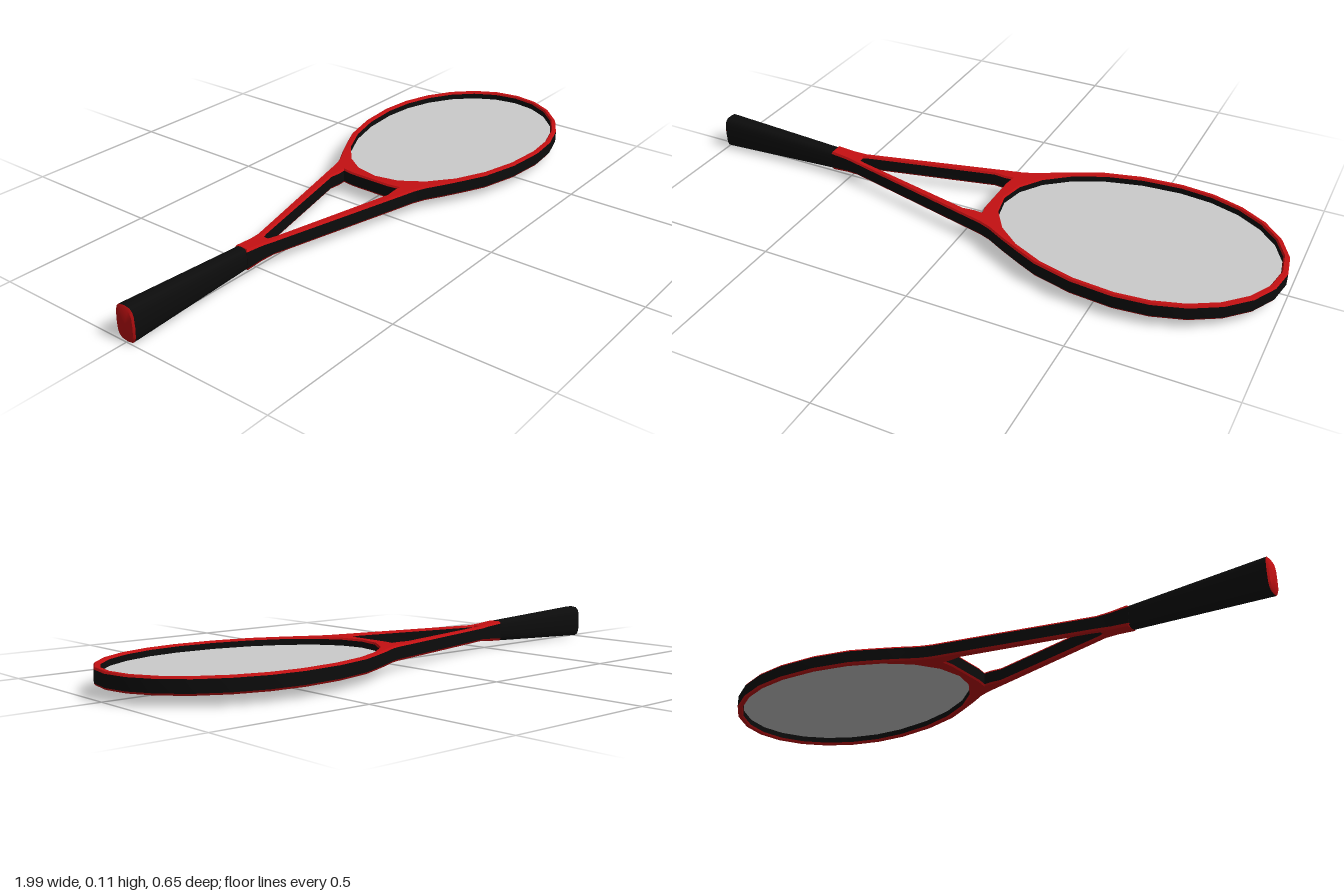
import * as THREE from 'three';
import { toCreasedNormals } from 'three/addons/utils/BufferGeometryUtils.js';

const MID_Y = 0.056;
const HEAD_X = 0.57;
const red = new THREE.MeshStandardMaterial({ color: 0xc41012 });
const black = new THREE.MeshStandardMaterial({ color: 0x0c0c0c });
const grey = new THREE.MeshStandardMaterial({ color: 0xcccccc, side: THREE.DoubleSide });

function addMesh(group, name, geometry, material) {
  const mesh = new THREE.Mesh(geometry, material);
  mesh.name = name;
  mesh.position.y = MID_Y;
  group.add(mesh);
  return mesh;
}

// Egg-shaped arc in plan: shorter towards the tip, longer towards the throat
function eggArc(front, back, half, fromDeg, toDeg, step = 15) {
  const points = [];
  for (let d = fromDeg; d <= toDeg; d += step) {
    const c = Math.cos(d * Math.PI / 180), s = Math.sin(d * Math.PI / 180);
    points.push(new THREE.Vector2(HEAD_X + c * (c > 0 ? front : back), half * s));
  }
  return points;
}

// Closes a half outline by mirroring it across the long axis
function mirrored(half) {
  const other = half.filter(p => Math.abs(p.y) > 1e-6).reverse();
  return [...half, ...other.map(p => new THREE.Vector2(p.x, -p.y))];
}

const vectors = pairs => pairs.map(([x, y]) => new THREE.Vector2(x, y));
const headOpening = () => mirrored(eggArc(0.4, 0.49, 0.307, 0, 180));

// Hoop, throat arms and collar in one extrusion, split into red faces and black walls
function addFrame(group) {
  const outline = mirrored([
    ...eggArc(0.42, 0.52, 0.325, 0, 120),
    ...vectors([[0.24, 0.248], [0.17, 0.212], [0.11, 0.178], [0.07, 0.163],
      [0, 0.146], [-0.455, 0.033], [-0.5, 0.026], [-0.56, 0.024]]),
  ]);
  const shape = new THREE.Shape(outline);
  const throat = mirrored(vectors([[0.048, 0], [0.048, 0.075], [0.054, 0.112],
    [0.03, 0.11], [-0.01, 0.114], [-0.43, 0.018], [-0.455, 0.01]]));
  shape.holes.push(new THREE.Path(headOpening()), new THREE.Path(throat));

  const depth = 0.038, bevel = 0.006;
  const solid = new THREE.ExtrudeGeometry(shape, {
    depth, bevelThickness: bevel, bevelSize: 0.004, bevelOffset: -0.004, bevelSegments: 1,
  });
  solid.translate(0, 0, -depth / 2).rotateX(Math.PI / 2);

  const pos = solid.attributes.position;
  const faces = [], walls = [];
  for (let i = 0; i < pos.count; i += 3) {
    const centreY = (pos.getY(i) + pos.getY(i + 1) + pos.getY(i + 2)) / 3;
    const target = Math.abs(centreY) > depth / 2 ? faces : walls;
    for (let k = i; k < i + 3; k++) {
      // The collar thickens where it meets the grip
      const t = THREE.MathUtils.clamp((-0.455 - pos.getX(k)) / 0.105, 0, 1);
      target.push(pos.getX(k), pos.getY(k) * (1 + 0.4 * t), pos.getZ(k));
    }
  }
  for (const [name, list, material] of [['frameFaces', faces, red], ['frameWalls', walls, black]]) {
    const geometry = new THREE.BufferGeometry();
    geometry.setAttribute('position', new THREE.Float32BufferAttribute(list, 3));
    addMesh(group, name, toCreasedNormals(geometry, 0.45), material);
  }
}

// Squares off a round section lying along x and sets its height and width
function squareOff(geometry, halfY, halfZ) {
  const pos = geometry.attributes.position;
  const bulge = v => Math.sign(v) * Math.abs(v) ** 0.6;
  for (let i = 0; i < pos.count; i++) {
    const y = pos.getY(i), z = pos.getZ(i), r = Math.hypot(y, z);
    if (r > 1e-6) pos.setXYZ(i, pos.getX(i), bulge(y / r) * r * halfY, bulge(z / r) * r * halfZ);
  }
  return toCreasedNormals(geometry, 0.6);
}

// Tapered grip with a shallow red butt cap
function addHandle(group) {
  const grip = new THREE.CylinderGeometry(0.65, 1, 0.437, 16, 1, true);
  grip.rotateZ(-Math.PI / 2).translate(-0.7765, 0, 0);
  addMesh(group, 'grip', squareOff(grip, 0.056, 0.036), black);

  const gripEnd = new THREE.CircleGeometry(0.65, 16);
  gripEnd.rotateY(Math.PI / 2).translate(-0.558, 0, 0);
  addMesh(group, 'gripEnd', squareOff(gripEnd, 0.056, 0.036), black);

  const cap = new THREE.CylinderGeometry(1, 0.85, 0.005, 16);
  cap.rotateZ(-Math.PI / 2).translate(-0.9975, 0, 0);
  addMesh(group, 'buttCap', squareOff(cap, 0.056, 0.036), red);
}

export function createModel() {
  const group = new THREE.Group();
  group.name = 'racket';
  addFrame(group);
  addHandle(group);

  // String bed as one thin sheet
  const bed = new THREE.ShapeGeometry(new THREE.Shape(headOpening()));
  addMesh(group, 'stringBed', bed.rotateX(-Math.PI / 2), grey);
  return group;
}
